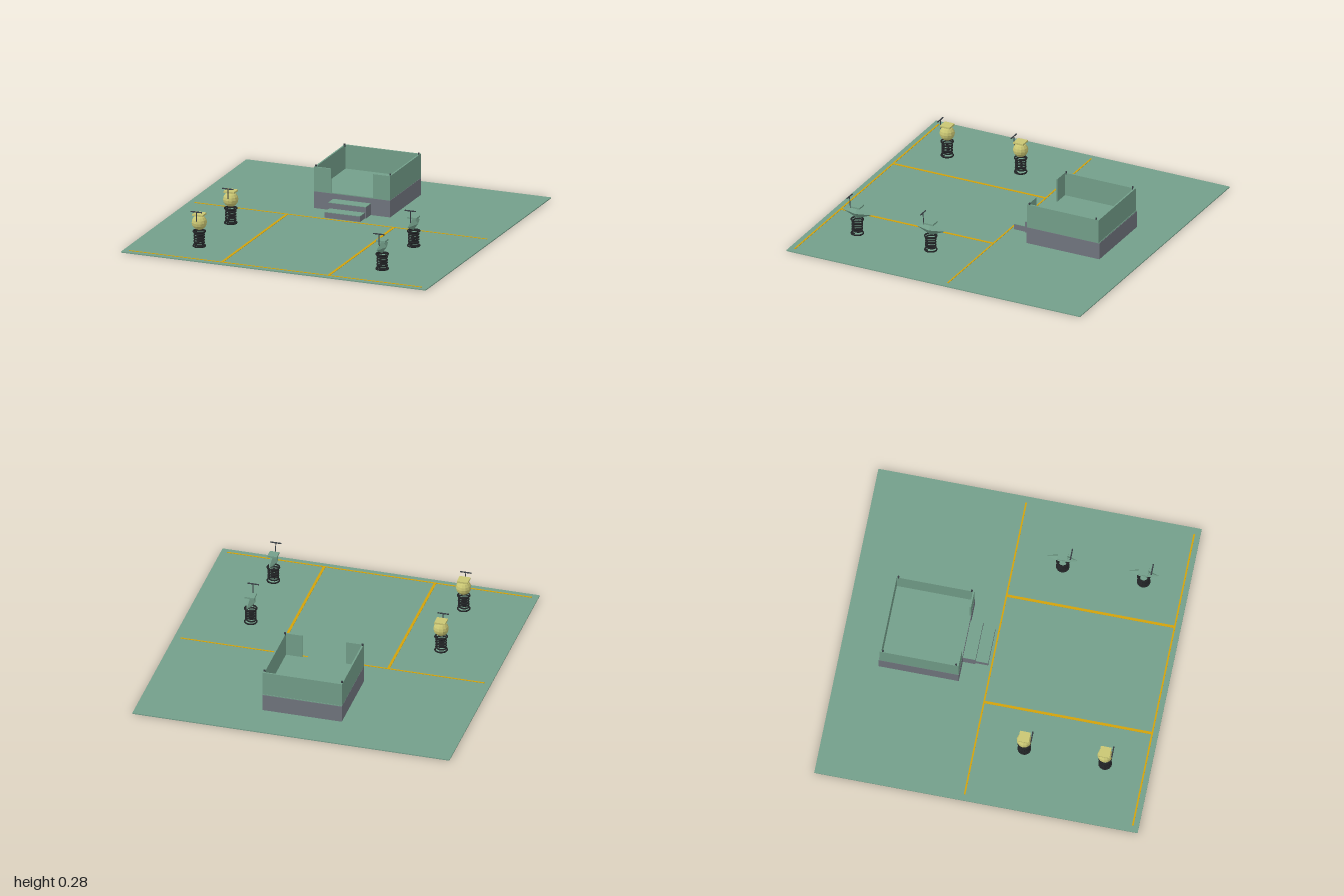
import * as THREE from 'three';

const mat = (name, color, extra = {}) => {
  const m = new THREE.MeshStandardMaterial({ color, ...extra });
  m.name = name;
  return m;
};

export function createModel() {
  const green = mat('playground green', 0x739f8a);
  const greenFacet = green;
  const grey = mat('platform grey', 0x71767f);
  const yellow = mat('line yellow', 0xd3a20a);
  const ball = mat('pale yellow', 0xc9c673, { flatShading: true });
  const black = mat('spring black', 0x222426);
  const dark = mat('handle dark', 0x3a4046);

  const root = new THREE.Group();
  root.name = 'playground';

  const add = (parent, name, geometry, material, x = 0, y = 0, z = 0) => {
    const mesh = new THREE.Mesh(geometry, material);
    mesh.name = name;
    mesh.position.set(x, y, z);
    parent.add(mesh);
    return mesh;
  };
  // Box given by its extents
  const box = (parent, name, material, x0, x1, y0, y1, z0, z1) =>
    add(parent, name, new THREE.BoxGeometry(x1 - x0, y1 - y0, z1 - z0), material,
      (x0 + x1) / 2, (y0 + y1) / 2, (z0 + z1) / 2);

  // Ground and painted lines
  box(root, 'ground', green, -1, 1, 0, 0.006, -1, 1);
  for (const z of [-0.078, 0.962])
    box(root, 'crossLine', yellow, -0.96, 0.96, 0.005, 0.008, z - 0.005, z + 0.005);
  for (const x of [-0.352, 0.348])
    box(root, 'sideLine', yellow, x - 0.008, x + 0.008, 0.005, 0.008, -0.078, 0.962);

  // Raised platform with low walls and an entrance
  const platform = new THREE.Group();
  platform.name = 'platform';
  root.add(platform);
  box(platform, 'platformBase', grey, -0.25, 0.25, 0.004, 0.112, -0.75, -0.255);
  box(platform, 'platformFloor', green, -0.248, 0.248, 0.112, 0.117, -0.748, -0.257);
  box(platform, 'backWall', green, -0.25, 0.25, 0.114, 0.268, -0.745, -0.735);
  for (const s of [-1, 1]) {
    const span = (a, b) => (s < 0 ? [-b, -a] : [a, b]);
    box(platform, 'sideWall', green, ...span(0.24, 0.25), 0.114, 0.268, -0.735, -0.265);
    box(platform, 'frontWall', green, ...span(0.138, 0.25), 0.114, 0.268, -0.265, -0.256);
    for (const z of [-0.272, -0.725])
      add(platform, 'cornerKnob', new THREE.CylinderGeometry(0.006, 0.006, 0.02, 8), dark,
        s * 0.244, 0.268, z);
  }

  // Two entry steps with green treads
  for (const [w, h, z0, z1] of [[0.123, 0.08, -0.255, -0.177], [0.116, 0.043, -0.177, -0.1]]) {
    box(platform, 'step', grey, -w, w, 0.004, h - 0.003, z0, z1);
    box(platform, 'stepTread', green, -w, w, h - 0.003, h, z0, z1);
  }

  // Coil spring shared by every rider
  const turns = 5, coil = [];
  for (let i = 0; i <= turns * 12; i++) {
    const a = (i / 12) * Math.PI * 2;
    coil.push(new THREE.Vector3(Math.cos(a) * 0.031, 0.015 + 0.087 * i / (turns * 12), Math.sin(a) * 0.031));
  }
  const coilGeo = new THREE.TubeGeometry(new THREE.CatmullRomCurve3(coil), 120, 0.005, 6);
  const ringGeo = new THREE.TorusGeometry(0.037, 0.005, 6, 20).rotateX(Math.PI / 2);

  const rider = (name, x, z) => {
    const g = new THREE.Group();
    g.name = name;
    g.position.set(x, 0, z);
    root.add(g);
    add(g, 'spring', coilGeo, black);
    for (const y of [0.011, 0.103]) add(g, 'springRing', ringGeo, black, 0, y, 0);
    return g;
  };
  // Upright handle with a cross bar
  const handle = (g, y0, y1, z) => {
    const stem = add(g, 'handleStem', new THREE.CylinderGeometry(0.003, 0.003, y1 - y0, 6), dark,
      0, (y0 + y1) / 2, z);
    stem.rotation.x = 0.08;
    add(g, 'handleBar', new THREE.CylinderGeometry(0.004, 0.004, 0.072, 6).rotateZ(Math.PI / 2), dark,
      0, y1, z + 0.003);
  };

  // Faceted diamond body, long along z
  const diamond = new THREE.OctahedronGeometry(1).scale(0.029, 0.041, 0.096);
  const sphere = new THREE.SphereGeometry(0.047, 12, 8);

  for (const z of [0.22, 0.72]) {
    const a = rider('ballRider', -0.6, z);
    add(a, 'ballBody', sphere, ball, 0, 0.16, 0);
    box(a, 'ballSeat', ball, -0.034, 0.034, 0.205, 0.216, -0.033, 0.033);
    handle(a, 0.17, 0.238, 0.044);

    const b = rider('diamondRider', 0.6, z);
    add(b, 'diamondBody', diamond, greenFacet, 0, 0.15, 0);
    box(b, 'diamondSeat', green, -0.03, 0.03, 0.186, 0.196, -0.03, 0.03);
    handle(b, 0.16, 0.245, 0.05);
  }

  return root;
}
